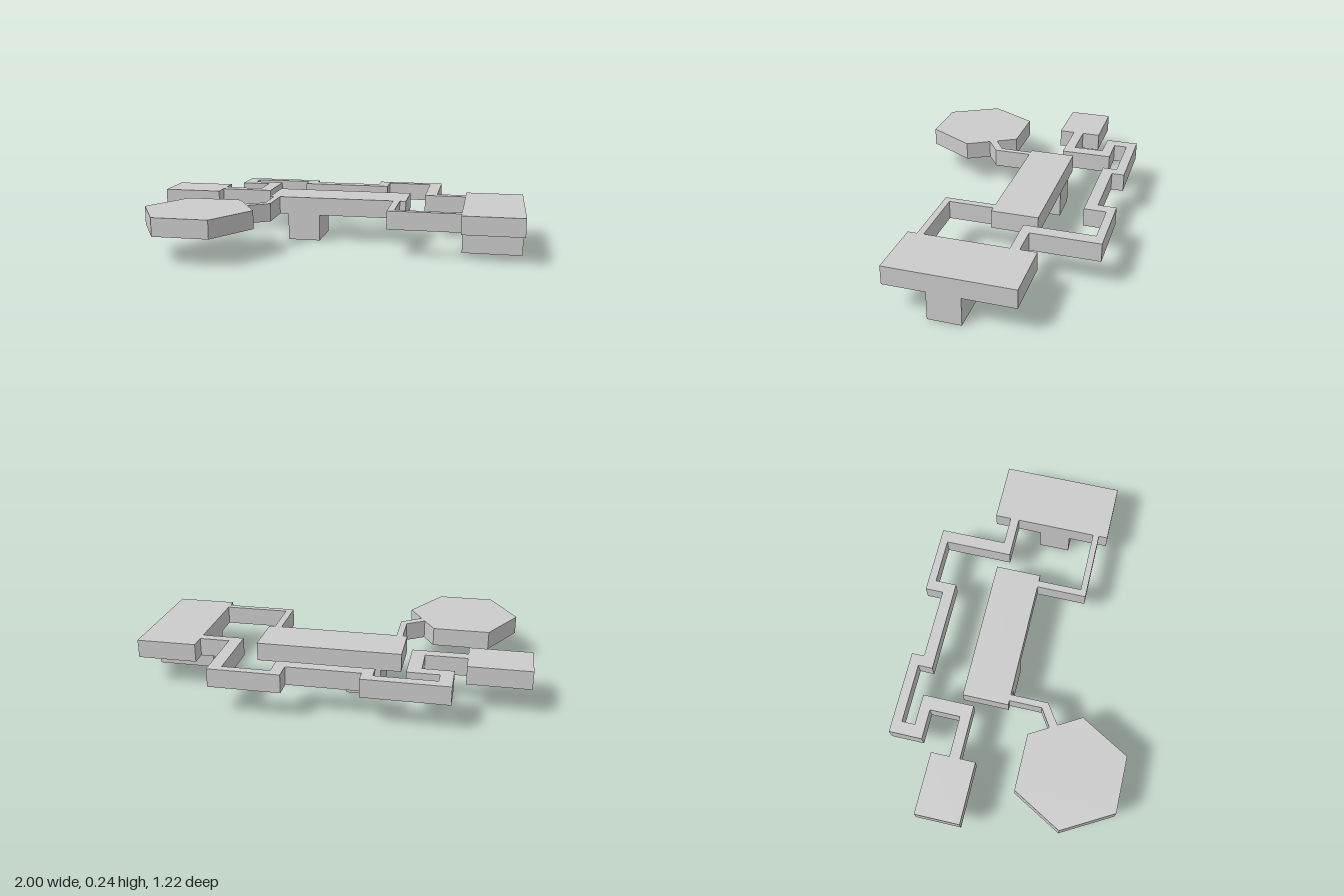
import * as THREE from 'three';

const FLOOR = 0.145, TOP = 0.24;
const material = new THREE.MeshStandardMaterial({ color: 0xcccccc, flatShading: true });

// Extrude a plan outline of [x, z] points upwards from y0 to y1.
function prism(name, outline, y0 = FLOOR, y1 = TOP) {
  const shape = new THREE.Shape(outline.map(([x, z]) => new THREE.Vector2(x, -z)));
  const geometry = new THREE.ExtrudeGeometry(shape, { depth: y1 - y0, bevelEnabled: false });
  geometry.rotateX(-Math.PI / 2).translate(0, y0, 0);
  const mesh = new THREE.Mesh(geometry, material);
  mesh.name = name;
  return mesh;
}

// Rectangular block from its plan extents.
function block(name, x0, x1, z0, z1, y0 = FLOOR, y1 = TOP) {
  const geometry = new THREE.BoxGeometry(x1 - x0, y1 - y0, z1 - z0);
  geometry.translate((x0 + x1) / 2, (y0 + y1) / 2, (z0 + z1) / 2);
  const mesh = new THREE.Mesh(geometry, material);
  mesh.name = name;
  return mesh;
}

export function createModel() {
  const model = new THREE.Group();
  model.name = 'roomComplex';

  // Upper rooms
  model.add(
    block('centralHall', -0.36, 0.385, -0.27, -0.03),
    block('largeRoom', 0.69, 1, -0.35, 0.28),
    block('smallRoom', -1, -0.685, -0.35, -0.12),
    prism('hexagonalRoom', [
      [-0.92, 0.355], [-0.777, 0.1], [-0.487, 0.1],
      [-0.34, 0.355], [-0.487, 0.61], [-0.777, 0.61],
    ]),
  );

  // Lower rooms
  model.add(
    block('hallCellar', -0.257, -0.083, -0.268, -0.03, 0.004, FLOOR),
    block('largeRoomCellar', 0.69, 0.998, -0.095, 0.07, 0, FLOOR),
  );

  // Winding corridor from the small room to the large room
  model.add(prism('windingCorridor', [
    [-0.685, -0.2], [-0.405, -0.2], [-0.405, -0.467], [-0.565, -0.467],
    [-0.565, -0.535], [-0.257, -0.535], [-0.257, -0.46], [0.23, -0.46],
    [0.23, -0.572], [0.47, -0.572], [0.47, -0.22], [0.69, -0.22],
    [0.69, -0.267], [0.535, -0.267], [0.535, -0.613], [0.172, -0.613],
    [0.172, -0.52], [-0.2, -0.52], [-0.2, -0.585], [-0.63, -0.585],
    [-0.63, -0.413], [-0.475, -0.413], [-0.475, -0.255], [-0.685, -0.255],
  ]));

  // Elbow corridor from the hall to the large room
  model.add(prism('elbowCorridor', [
    [0.317, -0.03], [0.317, 0.233], [0.69, 0.233],
    [0.69, 0.2], [0.353, 0.2], [0.353, -0.03],
  ]));

  // Angled corridor from the hall to the hexagonal room
  model.add(prism('angledCorridor', [
    [-0.337, -0.03], [-0.337, 0.14], [-0.43, 0.2],
    [-0.408, 0.237], [-0.304, 0.167], [-0.304, -0.03],
  ]));

  return model;
}
